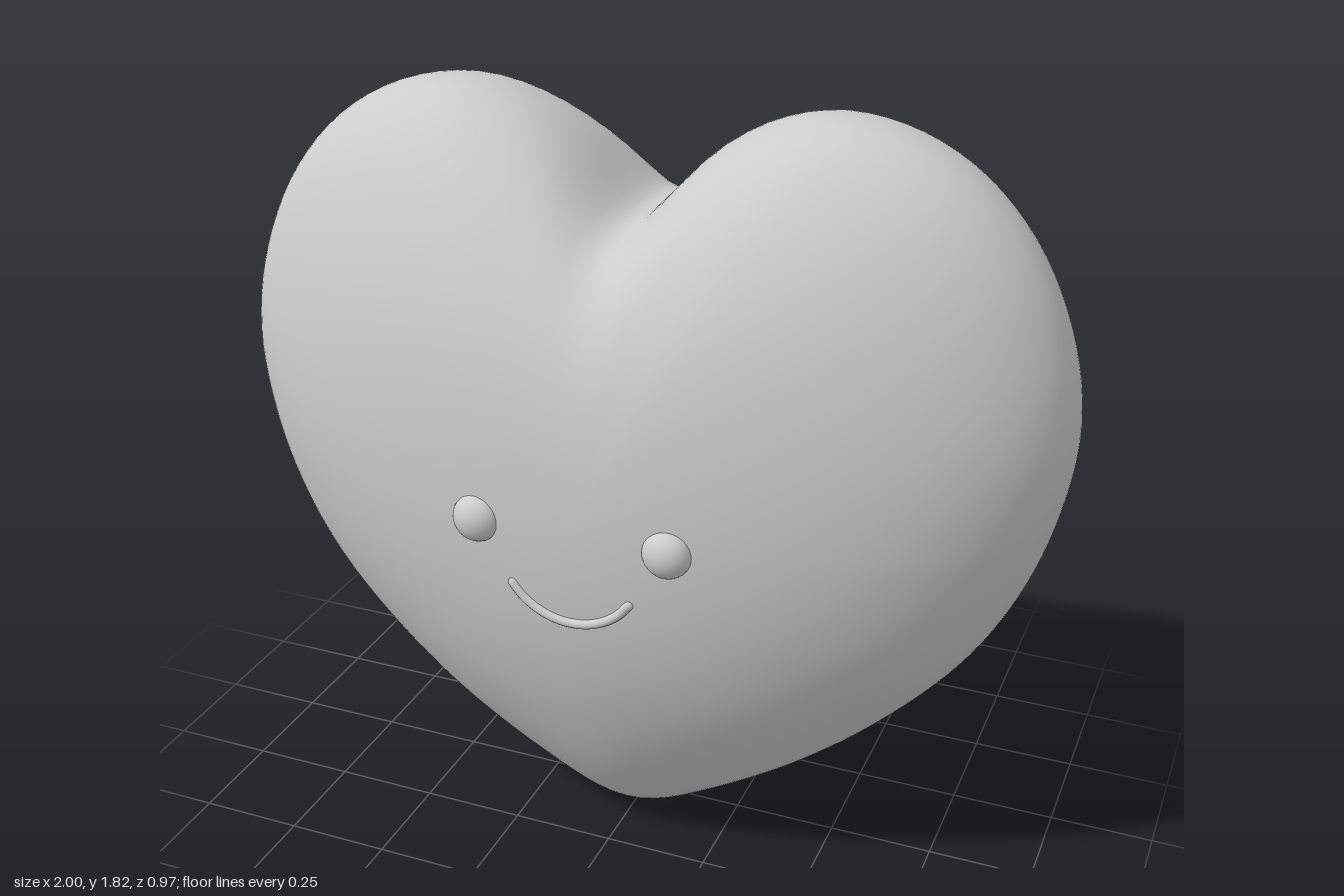
import * as THREE from 'three';
import { mergeVertices } from 'three/addons/utils/BufferGeometryUtils.js';

const CENTRE_Y = 0.95, FRONT = 0.46, BACK = 0.485;

// Right half of the heart outline, from the notch to the tip
const half = [
  [0, 1.56], [0.05, 1.585], [0.1, 1.64], [0.18, 1.718], [0.3, 1.786], [0.44, 1.815],
  [0.6, 1.788], [0.75, 1.705], [0.88, 1.56], [0.97, 1.36], [1, 1.17], [0.975, 0.97],
  [0.91, 0.77], [0.805, 0.585], [0.625, 0.385], [0.42, 0.215], [0.2, 0.075], [0.08, 0.015], [0, 0],
];

// Table of outline radius against angle from straight up (0..PI)
function outlineRadius() {
  const left = half.slice(1, -1).reverse().map(([x, y]) => [-x, y]);
  const curve = new THREE.CatmullRomCurve3(
    [...half, ...left].map(([x, y]) => new THREE.Vector3(x, y - CENTRE_Y, 0)), true);
  const samples = curve.getPoints(1600).filter((p) => p.x >= -1e-4)
    .map((p) => [Math.atan2(Math.max(p.x, 0), p.y), Math.hypot(p.x, p.y)])
    .sort((a, b) => a[0] - b[0]);
  return (angle) => {
    let a = Math.abs(angle);
    if (a > Math.PI) a = 2 * Math.PI - a;
    let i = samples.findIndex((s) => s[0] >= a);
    if (i < 0) i = samples.length - 1;
    if (i === 0) return samples[0][1];
    const [a0, r0] = samples[i - 1], [a1, r1] = samples[i];
    return r0 + (r1 - r0) * Math.min(1, (a - a0) / (a1 - a0 || 1));
  };
}

// Sphere reshaped so its rim is the heart and its faces swell into smooth domes
function heartGeometry() {
  const radius = outlineRadius();
  const cache = new Map();
  const radii = (angle) => {
    const key = angle.toFixed(4);
    if (!cache.has(key)) {
      let sum = 0;
      for (let k = -10; k <= 10; k++) sum += radius(angle + k * 0.07);
      const sharp = radius(angle), mean = sum / 21;
      // The notch fills in towards the middle while the lobes stay full
      const filled = (sharp + mean + Math.hypot(sharp - mean, 0.05)) / 2;
      const soft = THREE.MathUtils.lerp(mean, filled, (1 + Math.cos(angle)) / 2);
      cache.set(key, [sharp, soft]);
    }
    return cache.get(key);
  };
  let geo = new THREE.SphereGeometry(1, 160, 80).rotateX(Math.PI / 2);
  geo.deleteAttribute('uv');
  geo.deleteAttribute('normal');
  const pos = geo.attributes.position;
  for (let i = 0; i < pos.count; i++) {
    const x = pos.getX(i), y = pos.getY(i), z = pos.getZ(i);
    const rho = Math.min(1, Math.hypot(x, y));
    const angle = rho < 1e-6 ? 0 : Math.atan2(x, y);
    const [sharp, soft] = radii(angle);
    const r = rho * THREE.MathUtils.lerp(soft, sharp, rho * rho);
    const power = 1 + 0.44 * Math.abs(Math.cos(angle)) * rho * rho * (1 - rho * rho);
    const depth = Math.sign(z) * Math.pow(Math.abs(z), power) * (z > 0 ? FRONT : BACK);
    pos.setXYZ(i, r * Math.sin(angle), CENTRE_Y + r * Math.cos(angle), depth);
  }
  geo = mergeVertices(geo, 1e-5);
  geo.computeVertexNormals();
  return geo;
}

export function createModel() {
  const model = new THREE.Group();
  model.name = 'heartPlush';
  const grey = new THREE.MeshStandardMaterial({ color: 0xcccccc });
  grey.name = 'light grey';
  const add = (name, geo, parent = model) => {
    const mesh = new THREE.Mesh(geo, grey);
    mesh.name = name;
    parent.add(mesh);
    return mesh;
  };

  add('heartBody', heartGeometry());

  // Button eyes
  for (const [side, name] of [[1, 'leftEye'], [-1, 'rightEye']]) {
    const eye = add(name, new THREE.SphereGeometry(0.056, 32, 20));
    eye.scale.z = 0.8;
    eye.position.set(side * 0.226, 0.948, 0.44);
  }

  // Smile: a circular arc with rounded ends
  const mouth = new THREE.Group();
  mouth.name = 'mouth';
  model.add(mouth);
  const arc = [];
  for (let i = -4; i <= 4; i++) {
    const a = i * 0.245;
    arc.push(new THREE.Vector3(0.168 * Math.sin(a), 0.899 - 0.168 * Math.cos(a), 0.447));
  }
  const smile = new THREE.CatmullRomCurve3(arc);
  add('smile', new THREE.TubeGeometry(smile, 40, 0.011, 12), mouth);
  for (const t of [0, 1]) {
    add('smileEnd', new THREE.SphereGeometry(0.011, 12, 8), mouth).position.copy(smile.getPoint(t));
  }
  return model;
}
